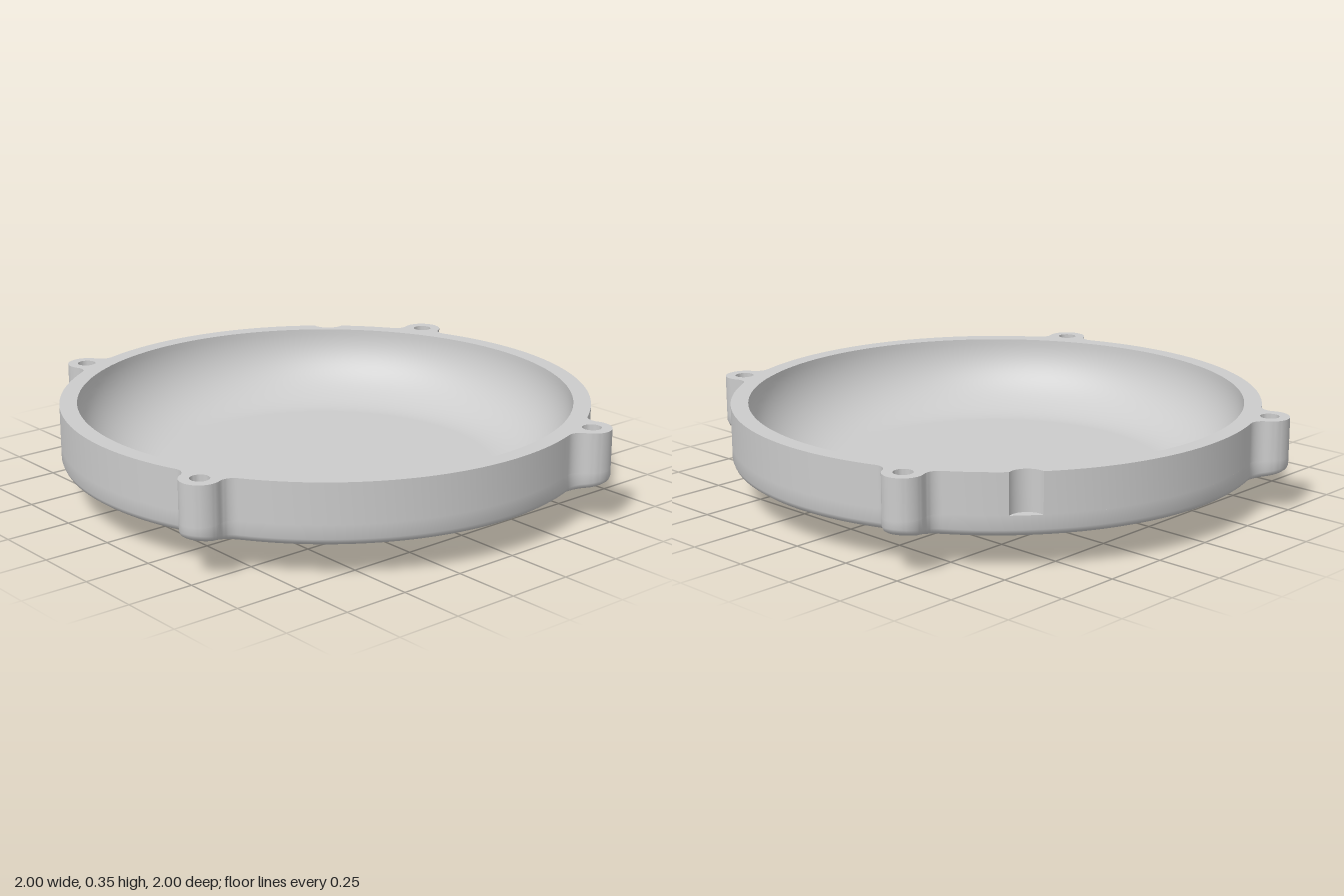
import * as THREE from 'three';
import { toCreasedNormals } from 'three/addons/utils/BufferGeometryUtils.js';

const R = 0.995, TOP = 0.35, LEDGE = 0.2;            // disc radius, rim height, notch floor
const LUG_D = 1.037, LUG_R = 0.073, HOLE_R = 0.035, FILLET = 0.05;
const LUG_ANGLE = 0.461, NOTCH_ANGLE = 0.859, NOTCH_D = 1.024, NOTCH_R = 0.065;

// Height of the conical underside at radius r
const coneY = (r) => 0.125 + 0.21 * (r - 0.975);
const polar = (a, d) => new THREE.Vector2(Math.cos(a) * d, Math.sin(a) * d);

// Points on an arc from a0 to a1, without the last point
function arc(c, r, a0, a1, n) {
  return Array.from({ length: n }, (_, i) => polar(a0 + ((a1 - a0) * i) / n, r).add(c));
}
const circle = (c, r, n) => arc(c, r, 0, Math.PI * 2, n);

// Where the notch cutter crosses the disc, and the notch arc itself
const notchHalf = Math.acos((R * R + NOTCH_D ** 2 - NOTCH_R ** 2) / (2 * R * NOTCH_D));
function notchArc() {
  const c = polar(NOTCH_ANGLE, NOTCH_D);
  const from = polar(NOTCH_ANGLE - notchHalf, R).sub(c);
  const half = Math.acos(-from.dot(polar(NOTCH_ANGLE, 1)) / NOTCH_R);
  const mid = NOTCH_ANGLE + Math.PI;
  return arc(c, NOTCH_R, mid + half, mid - half, 14);
}

// Disc outline with four filleted lugs, optionally inset or notched
function outline(inset = 0, notched = false) {
  const pts = [], o = new THREE.Vector2();
  const r = R - inset, lr = LUG_R - inset, f = FILLET + inset;
  const phi = Math.acos(((r + f) ** 2 + LUG_D ** 2 - (lr + f) ** 2) / (2 * (r + f) * LUG_D));
  // angle at the lug centre and at the fillet centre, in the lug's own frame
  const fc = polar(phi, r + f);
  const beta = Math.atan2(fc.y, fc.x - LUG_D);
  const sweep = Math.PI - (beta - phi);
  for (let k = 0; k < 4; k++) {
    const a = LUG_ANGLE + (k * Math.PI) / 2;
    const inA = a - phi + Math.PI, outA = a + beta + Math.PI;
    pts.push(...arc(polar(a - phi, r + f), f, inA, inA - (Math.PI - sweep), 8));
    pts.push(...arc(polar(a, LUG_D), lr, a - beta, a + beta, 28));
    pts.push(...arc(polar(a + phi, r + f), f, outA, outA - (Math.PI - sweep), 8));
    const end = a + Math.PI / 2 - phi;
    if (notched && k === 0) {
      pts.push(...arc(o, r, a + phi, NOTCH_ANGLE - notchHalf, 8), ...notchArc());
      pts.push(...arc(o, r, NOTCH_ANGLE + notchHalf, end, 28));
    } else pts.push(...arc(o, r, a + phi, end, 36));
  }
  return pts;
}

// Closed wall through rings of equal point count, listed from the top down
function wall(rings) {
  const pos = [], n = rings[0].pts.length;
  const put = (ring, i) => {
    const p = ring.pts[i % n];
    pos.push(p.x, ring.y(p.length()), -p.y);
  };
  for (let k = 0; k + 1 < rings.length; k++) {
    const a = rings[k], b = rings[k + 1];
    for (let i = 0; i < n; i++) {
      put(a, i); put(b, i); put(b, i + 1);
      put(a, i); put(b, i + 1); put(a, i + 1);
    }
  }
  const g = new THREE.BufferGeometry();
  g.setAttribute('position', new THREE.Float32BufferAttribute(pos, 3));
  return toCreasedNormals(g, 0.7);
}

// Flat face in plan; heights follow yAt, facing up or down
function face(pts, holes, yAt, down = false) {
  const shape = new THREE.Shape(pts);
  shape.holes = holes.map((h) => new THREE.Path(h));
  const g = new THREE.ShapeGeometry(shape);
  g.rotateX(-Math.PI / 2);
  const p = g.attributes.position;
  for (let i = 0; i < p.count; i++) p.setY(i, yAt(Math.hypot(p.getX(i), p.getZ(i))));
  if (down) g.index.array.reverse();
  g.computeVertexNormals();
  return g;
}

export function createModel() {
  const group = new THREE.Group();
  const mat = new THREE.MeshStandardMaterial({ color: 0xcccccc });
  const add = (name, geo) => {
    const m = new THREE.Mesh(geo, mat);
    m.name = name;
    group.add(m);
    return m;
  };
  const at = (y) => () => y;
  const o = new THREE.Vector2();
  const lugs = [0, 1, 2, 3].map((k) => polar(LUG_ANGLE + (k * Math.PI) / 2, LUG_D));
  const lugHoles = lugs.map((c) => circle(c, HOLE_R, 28));

  // Rim face and outer side wall
  add('rimFace', face(outline(0, true), [circle(o, 0.93, 128), ...lugHoles], at(TOP)));
  const notched = outline(0, true), plain = outline();
  add('upperWall', wall([{ pts: notched, y: at(TOP) }, { pts: notched, y: at(LEDGE) }]));
  add('lowerWall', wall([
    { pts: plain, y: at(LEDGE) },
    { pts: plain, y: (r) => coneY(r) + 0.02 },
    { pts: outline(0.006), y: (r) => coneY(r) + 0.007 },
    { pts: outline(0.02), y: coneY },
  ]));

  // Floor of the edge notch
  const lens = [
    ...arc(o, R, NOTCH_ANGLE - notchHalf, NOTCH_ANGLE + notchHalf, 8),
    ...notchArc().reverse(),
  ];
  add('notchFloor', face(lens, [], at(LEDGE)));

  // Underside of the rim and lugs, and the screw hole bores
  add('rimUnderside', face(outline(0.02), [circle(o, 0.95, 128), ...lugHoles], coneY, true));
  for (const h of lugHoles) {
    const pts = [...h].reverse();
    add('screwHole', wall([{ pts, y: at(TOP) }, { pts, y: coneY }]));
  }

  // Shallow outer dome
  const bend = new THREE.QuadraticBezierCurve(
    new THREE.Vector2(0.24, 0.012), new THREE.Vector2(0.437, 0.012), new THREE.Vector2(0.64, coneY(0.64)));
  add('underside', new THREE.LatheGeometry(
    [new THREE.Vector2(0, 0.012), ...bend.getPoints(12), new THREE.Vector2(0.95, coneY(0.95))], 128));

  // Inner bowl: flat floor sweeping up to the rim
  const bowl = [];
  for (let i = 0; i <= 20; i++) {
    const t = (i / 20) * Math.PI / 2;
    bowl.push(new THREE.Vector2(0.64 + 0.29 * Math.cos(t), TOP - 0.275 * Math.sin(t)));
  }
  bowl.push(new THREE.Vector2(0, 0.075));
  add('innerBowl', new THREE.LatheGeometry(bowl, 128));

  // Plain raised pad under the centre
  add('basePad', new THREE.BoxGeometry(0.93, 0.03, 0.39)).position.set(-0.015, 0.015, -0.065);
  return group;
}
